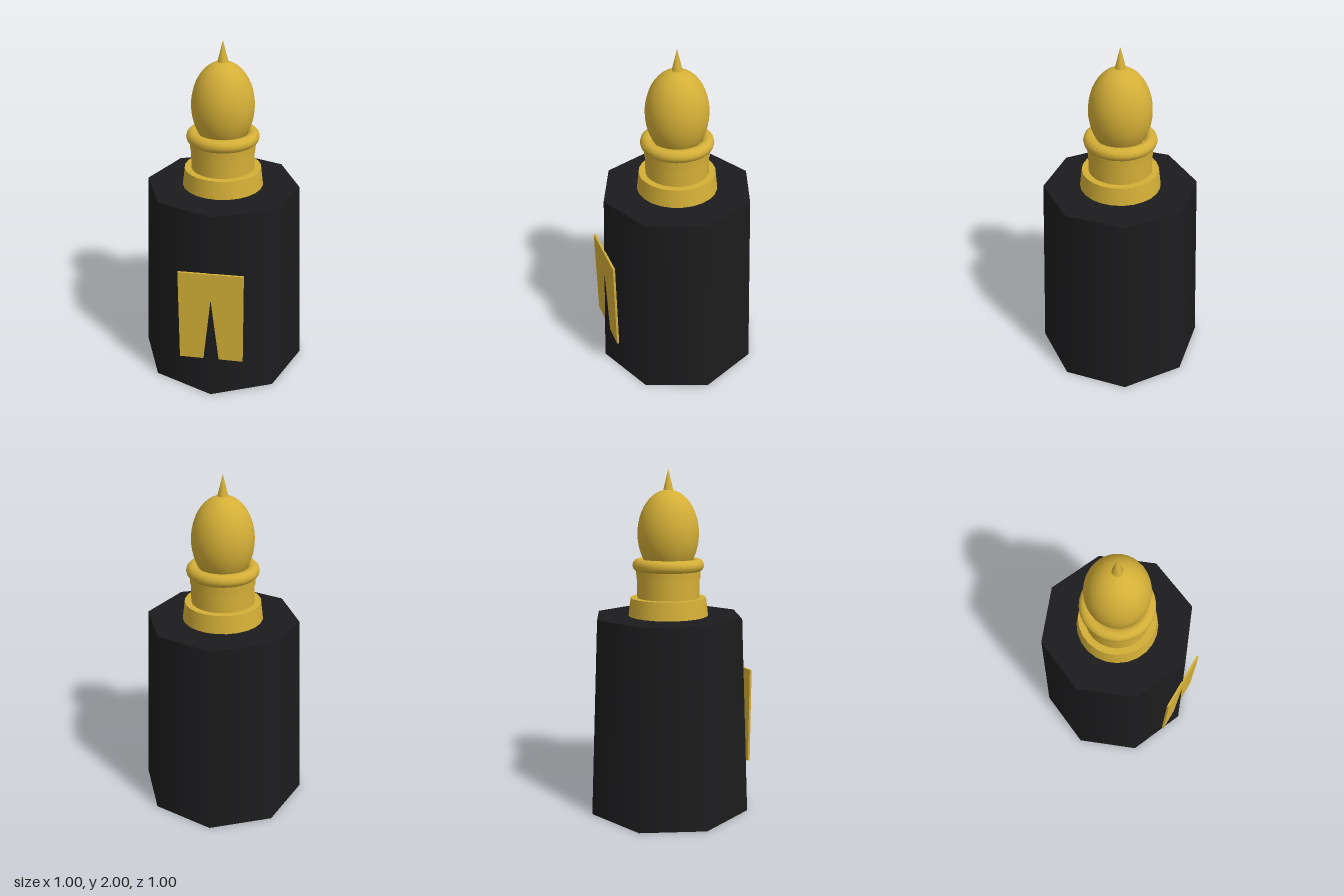
import * as THREE from 'three';

export function createModel() {
  const model = new THREE.Group();
  const black = new THREE.MeshStandardMaterial({ color: 0x1c1c1e });
  const gold = new THREE.MeshStandardMaterial({ color: 0xd4af37 });

  function add(name, geometry, material, y, z = 0) {
    const mesh = new THREE.Mesh(geometry, material);
    mesh.name = name;
    mesh.position.set(0, y, z);
    model.add(mesh);
    return mesh;
  }

  // Round part spanning y0 to y1
  function drum(name, rTop, rBottom, y0, y1, sides, material) {
    return add(name, new THREE.CylinderGeometry(rTop, rBottom, y1 - y0, sides), material, (y0 + y1) / 2);
  }

  // Tapered eight-sided body, one corner facing the front
  drum('body', 0.447, 0.5, 0, 1.16, 8, black);

  // Flat front plate; the body's front corner pokes through its lower half
  add('frontPlate', new THREE.BoxGeometry(0.37, 0.575, 0.013), gold, 0.5275, 0.464);

  // Stepped cap
  drum('capBase', 0.222, 0.235, 1.16, 1.265, 24, gold);
  drum('neck', 0.183, 0.183, 1.265, 1.43, 24, gold);
  drum('neckBand', 0.19, 0.187, 1.375, 1.45, 24, gold);

  // Rounded collar
  const collar = new THREE.TorusGeometry(0.172, 0.037, 12, 32);
  collar.rotateX(Math.PI / 2);
  add('collar', collar, gold, 1.454);

  // Egg-shaped dome
  const dome = new THREE.SphereGeometry(0.178, 32, 24);
  dome.scale(1, 1.41, 1);
  add('dome', dome, gold, 1.634);

  // Pointed finial
  drum('finial', 0, 0.032, 1.875, 2, 8, gold);

  return model;
}
